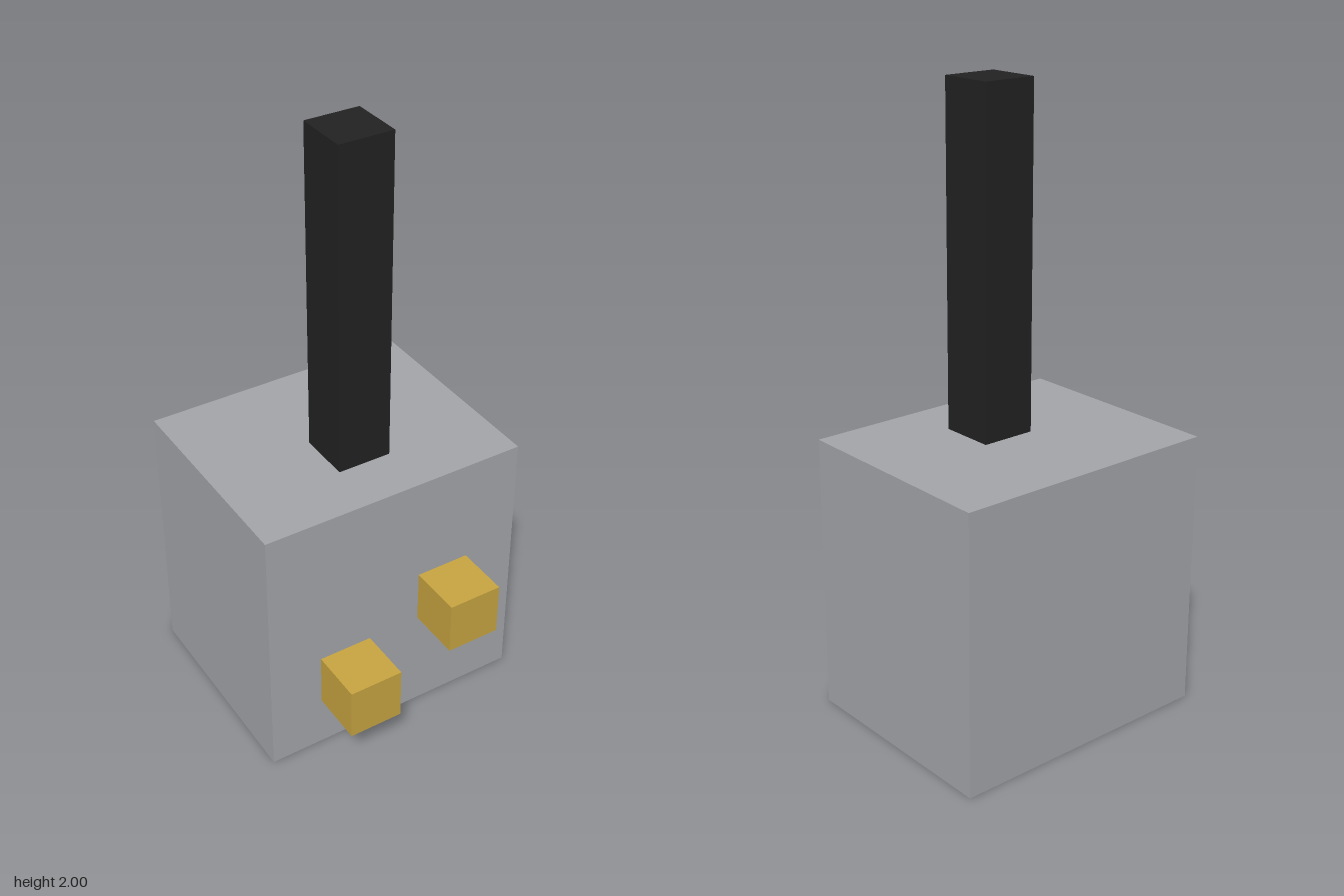
import * as THREE from 'three';

const U = 2 / 11; // block unit: the model is eleven units tall

export function createModel() {
  const model = new THREE.Group();
  model.name = 'blockWithPole';

  const material = (name, color) => {
    const m = new THREE.MeshStandardMaterial({ color });
    m.name = name;
    return m;
  };
  const grey = material('grey', 0xa3a6aa);
  const black = material('black', 0x222222);
  const gold = material('gold', 0xc8a541);

  // Box given by its size and the centre of its base, in block units
  const addBlock = (name, mat, [w, h, d], [x, y, z]) => {
    const mesh = new THREE.Mesh(new THREE.BoxGeometry(w * U, h * U, d * U), mat);
    mesh.position.set(x * U, (y + h / 2) * U, z * U);
    mesh.name = name;
    model.add(mesh);
  };

  // Main body, set back to leave room for the knobs
  addBlock('body', grey, [5, 5, 4], [0, 0, -0.5]);

  // Upright pole on top
  addBlock('pole', black, [1, 6, 1], [0, 5, 0]);

  // Two staggered cubes on the front
  addBlock('rightKnob', gold, [1, 1, 1], [-1, 1, 2]);
  addBlock('leftKnob', gold, [1, 1, 1], [1, 2, 2]);

  return model;
}
